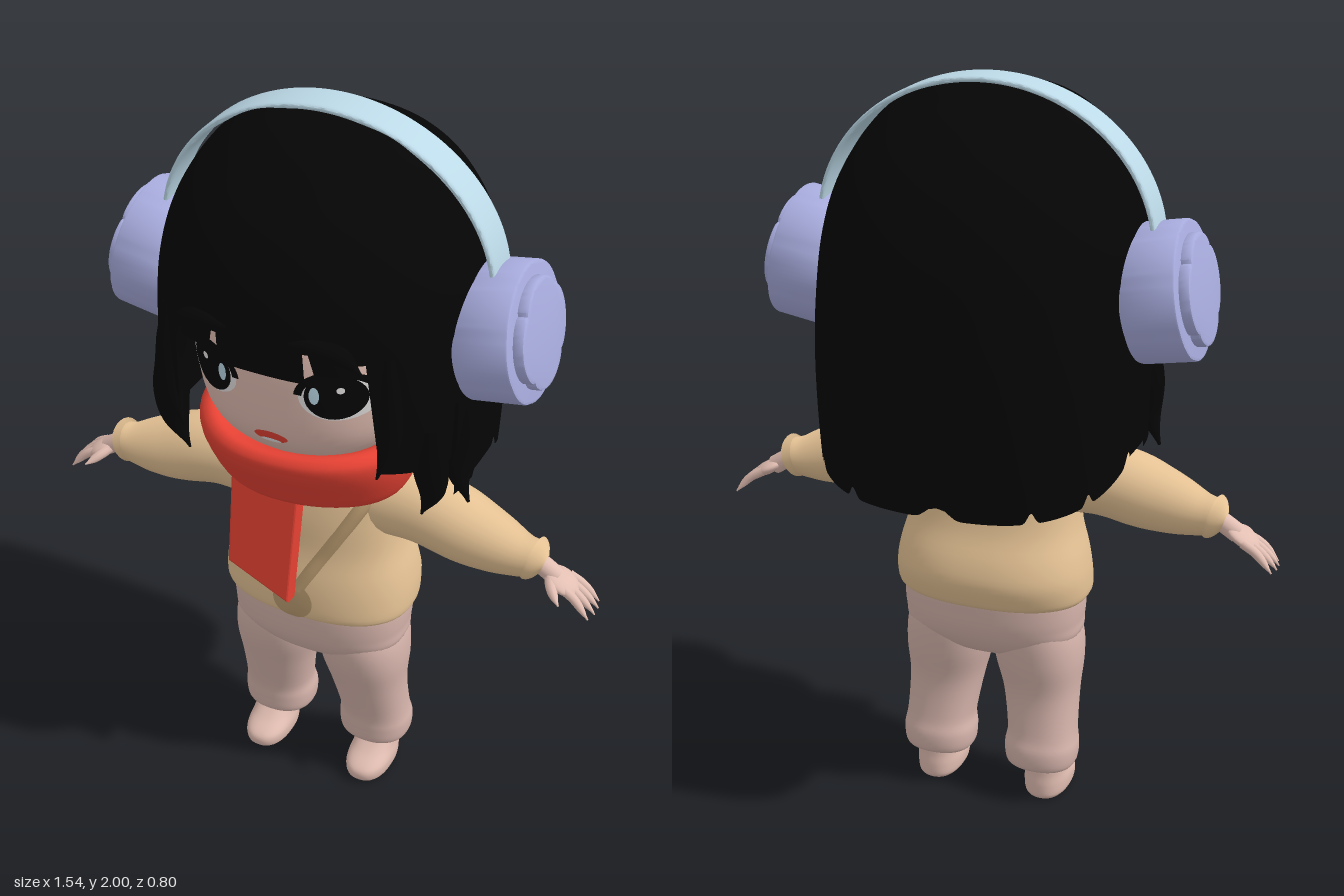
import * as THREE from 'three';
import { toCreasedNormals } from 'three/addons/utils/BufferGeometryUtils.js';

const V2 = (x, y) => new THREE.Vector2(x, y);
const V3 = (x, y, z) => new THREE.Vector3(x, y, z);
const mat = (name, color, double) => {
  const m = new THREE.MeshStandardMaterial({ color });
  m.name = name;
  if (double) m.side = THREE.DoubleSide;
  return m;
};

// Smooth stack of cross-sections; each row is [y, halfWidth, zFront, zBack]
function profile(rows, n) {
  const a = new THREE.SplineCurve(rows.map(r => V2(r[0], r[1])));
  const b = new THREE.SplineCurve(rows.map(r => V2(r[2], r[3])));
  const at = t => {
    const p = a.getPoint(t), q = b.getPoint(t);
    return { y: p.x, w: Math.max(p.y, 0.001), c: (q.x + q.y) / 2, d: (q.x - q.y) / 2 };
  };
  const atY = y => {
    let lo = 0, hi = 1;
    for (let k = 0; k < 22; k++) {
      const m = (lo + hi) / 2;
      if (a.getPoint(m).x < y) lo = m; else hi = m;
    }
    return at(lo);
  };
  const frontZ = (x, y) => {
    const s = atY(y);
    return s.c + s.d * Math.pow(Math.max(0, 1 - Math.pow(Math.abs(x) / s.w, n)), 1 / n);
  };
  return { at, atY, frontZ, n };
}

// Unit superellipse point as [x, z]; larger n is boxier
const ring = (a, n) => [Math.sin(a), Math.cos(a)].map(v => Math.sign(v) * Math.abs(v) ** (2 / n));

// Skin over a profile; "hem" cuts the lower edge, "lift" raises points, "boxy" varies n with height
function loft(p, { cx = 0, seg = 48, steps = 32, hem = null, lift = null, boxy = null } = {}) {
  const pos = [], idx = [], rows = [];
  for (let j = 0; j <= steps; j++) rows.push([j / steps, 1]);
  if (!hem) { rows.unshift([0, 0]); rows.push([1, 0]); }
  for (const [t, k] of rows) for (let i = 0; i < seg; i++) {
    const a = i / seg * Math.PI * 2;
    let s = p.at(t), [x, z] = ring(a, p.n);
    if (hem) { const h = hem(x, z, a); if (s.y < h) s = p.atY(h); }
    if (boxy) [x, z] = ring(a, boxy(s.y));
    pos.push(cx + x * s.w * k, s.y + (lift ? lift(z, a) : 0), s.c + z * s.d * k);
  }
  for (let j = 0; j < rows.length - 1; j++) for (let i = 0; i < seg; i++) {
    const a = j * seg + i, b = j * seg + (i + 1) % seg;
    idx.push(a, b, b + seg, a, b + seg, a + seg);
  }
  const g = new THREE.BufferGeometry();
  g.setAttribute('position', new THREE.Float32BufferAttribute(pos, 3));
  g.setIndex(idx);
  g.computeVertexNormals();
  return g;
}

// Tapered tube through [x, y, z, radius] points
function limb(pts, radial = 16, steps = 24) {
  const curve = new THREE.CatmullRomCurve3(pts.map(p => V3(p[0], p[1], p[2])));
  const rad = new THREE.SplineCurve(pts.map((p, i) => V2(i, p[3])));
  const g = new THREE.TubeGeometry(curve, steps, 1, radial);
  const at = g.attributes.position, v = V3(0, 0, 0);
  for (let j = 0; j <= steps; j++) {
    const c = curve.getPointAt(j / steps), r = Math.max(rad.getPoint(j / steps).y, 0.001);
    for (let i = 0; i <= radial; i++) {
      const k = j * (radial + 1) + i;
      v.fromBufferAttribute(at, k).sub(c).multiplyScalar(r).add(c);
      at.setXYZ(k, v.x, v.y, v.z);
    }
  }
  return g;
}

// Thin elliptical patch laid on the front of a profile
function patch(p, x, y, rx, ry, off, inner = 0, start = 0, len = Math.PI * 2) {
  const g = new THREE.RingGeometry(inner, 1, 28, 4, start, len), at = g.attributes.position;
  for (let i = 0; i < at.count; i++) {
    const X = x + at.getX(i) * rx, Y = y + at.getY(i) * ry;
    at.setXYZ(i, X, Y, p.frontZ(X, Y) + off);
  }
  g.computeVertexNormals();
  return g;
}

// Disc with rounded petals, extruded along z
function flower(r, lobes, amp, depth) {
  const pts = [];
  for (let i = 0; i < 96; i++) {
    const a = i / 96 * Math.PI * 2;
    const q = r * (1 - amp + amp * Math.sqrt(Math.abs(Math.cos(lobes * a / 2))));
    pts.push(V2(Math.cos(a) * q, Math.sin(a) * q));
  }
  const b = 0.006;
  return toCreasedNormals(new THREE.ExtrudeGeometry(new THREE.Shape(pts),
    { depth, bevelEnabled: true, bevelSize: b, bevelThickness: b, bevelOffset: -b, bevelSegments: 2 }), 0.5);
}

export function createModel() {
  const root = new THREE.Group();
  root.name = 'girlWithHeadphones';
  const M = {
    hair: mat('black', 0x050505, true), skin: mat('skin', 0xe2beb2), knit: mat('sweaterTan', 0xe6c395),
    pants: mat('dustyPink', 0xd7b5ac), red: mat('scarfRed', 0xf04536), cup: mat('lavender', 0xaaaee0),
    band: mat('paleBlue', 0xbcd9e7), strap: mat('strapBrown', 0xbb9c71), white: mat('white', 0xf2eeee),
  };
  const add = (name, geo, m, parent = root) => {
    const o = new THREE.Mesh(geo, m);
    o.name = name;
    parent.add(o);
    return o;
  };

  // Head and neck
  const head = profile([[1.12, .08, .18, -.08], [1.18, .2, .27, -.12], [1.25, .26, .322, -.18], [1.35, .293, .342, -.24],
    [1.5, .31, .342, -.28], [1.68, .28, .3, -.27], [1.82, .18, .19, -.17], [1.87, .03, .05, -.03]], 2.35);
  add('head', loft(head), M.skin);
  add('neck', new THREE.CylinderGeometry(.09, .1, .2, 24).translate(0, 1.1, .05), M.skin);
  add('mouth', patch(head, 0, 1.258, .045, .018, .003), M.red);
  add('teeth', patch(head, 0, 1.248, .028, .006, .006), M.white);
  for (const s of [1, -1]) {
    add('eyeWhite', patch(head, s * .17, 1.405, .088, .064, .002), M.white);
    add('iris', patch(head, s * .165, 1.41, .068, .064, .005), M.hair);
    add('eyeGlint', patch(head, s * .122, 1.415, .012, .024, .008), M.band);
    add('eyeSpark', patch(head, s * .18, 1.432, .009, .009, .008), M.white);
    add('upperLash', patch(head, s * .17, 1.405, .098, .078, .006, .8, .1, Math.PI - .2), M.hair);
    for (const k of [0, 1, 2]) {
      const x = s * (.232 + k * .008), y = 1.45 - k * .025, X = x + s * .026;
      add('lash', limb([[x, y, head.frontZ(x, y), .008], [X, y + .018, head.frontZ(X, y) + .008, .002]], 6, 4), M.hair);
    }
  }

  // Hair shell: round crown, boxier lower down, with fringe, side locks and slit back edge
  const hair = profile([[.93, .4, .3, -.37], [1.1, .41, .32, -.387], [1.3, .42, .355, -.402], [1.45, .42, .375, -.408],
    [1.6, .41, .388, -.405], [1.72, .382, .37, -.378], [1.82, .332, .326, -.324], [1.9, .27, .25, -.238],
    [1.95, .2, .18, -.15], [1.975, .12, .11, -.08], [1.982, .001, .01, .009]], 2.6);
  const hem = (sx, sz, a) => {
    const x = Math.abs(sx) * .42, z = sz * .39 - .005;
    const slit = .03 * Math.abs(Math.sin(a * 6.5)) ** 40;
    if (sz > 0 && x < .265) return x < .125 ? 1.465 : x < .15 ? 1.55 : x < .24 ? 1.495 : 1.53;
    if (z > .17) return 1.2 + .1 * Math.max(0, z - .25);
    if (z > .15) return 1.36;
    if (z > .05) return 1.07;
    if (z > -.07) return 1.09;
    return 1.08 - (-.07 - z) * .34 + slit;
  };
  const boxy = y => 2.85 - .75 * THREE.MathUtils.smoothstep(y, 1.05, 1.85);
  add('hair', loft(hair, { seg: 400, steps: 60, hem, boxy }), M.hair);
  for (const s of [1, -1]) {
    add('outerLock', limb([[s * .39, 1.36, .08, .025], [s * .405, 1.24, .08, .036], [s * .4, 1.14, .1, .034],
      [s * .43, 1.05, .1, .004]]), M.hair);
    add('innerLock', limb([[s * .36, 1.32, .2, .03], [s * .36, 1.21, .19, .045], [s * .36, 1.11, .17, .035],
      [s * .33, 1.02, .16, .003]]), M.hair);
    add('faceLock', limb([[s * .29, 1.54, .29, .015], [s * .3, 1.42, .295, .026], [s * .295, 1.3, .29, .028],
      [s * .265, 1.19, .29, .003]]), M.hair);
    add('fringeTuft', limb([[s * .08, 1.57, .378, .01], [s * .14, 1.575, .374, .02], [s * .2, 1.56, .36, .022],
      [s * .245, 1.51, .34, .003]]), M.hair);
  }

  // Headphones
  const arch = new THREE.Shape();
  arch.absellipse(0, 1.6, .45, .4, 0, Math.PI, false);
  arch.lineTo(-.434, 1.6);
  arch.absellipse(0, 1.6, .434, .384, Math.PI, 0, true);
  add('headband', toCreasedNormals(new THREE.ExtrudeGeometry(arch, { depth: .07, bevelEnabled: true, bevelSize: .005,
    bevelOffset: -.005, bevelThickness: .018, bevelSegments: 3, curveSegments: 56 }).translate(0, 0, -.045), 1), M.band);
  for (const s of [1, -1]) {
    const side = new THREE.Group(), cup = new THREE.Group();
    side.name = 'earCup';
    cup.name = 'cupParts';
    if (s < 0) side.rotation.y = Math.PI;
    cup.position.set(.4, 1.487, -.01 * s);
    cup.rotation.z = .17;
    side.add(cup);
    root.add(side);
    add('cupBody', flower(.175, 8, .012, .13).rotateY(Math.PI / 2), M.cup, cup);
    add('cupPlate', flower(.14, 4, .11, .02).rotateY(Math.PI / 2).translate(.137, 0, 0), M.cup, cup);
  }

  // Scarf wrap, riding up behind the neck, and hanging tail
  const scarf = profile([[1.0, .2, .22, -.06], [1.02, .255, .265, -.09], [1.08, .282, .3, -.11], [1.145, .29, .333, -.12],
    [1.185, .28, .336, -.115], [1.197, .24, .3, -.09], [1.13, .17, .2, -.04]], 2.2);
  add('scarfWrap', loft(scarf, {
    lift: (z, a) => .035 * (1 - z) * (1 + Math.max(0, -z)) + .006 * Math.sin(a * 3),
  }), M.red);
  const tail = new THREE.Shape([V2(-.16, 1.04), V2(-.16, .775), V2(.008, .703), V2(.02, 1.04)]);
  const tailMesh = add('scarfTail', new THREE.ExtrudeGeometry(tail, { depth: .034, bevelEnabled: true, bevelSize: .006,
    bevelThickness: .006, bevelSegments: 2 }).translate(0, -1.02, 0), M.red);
  tailMesh.position.set(0, 1.02, .2);
  tailMesh.rotation.x = -.13;

  // Sweater body, sleeves and hands
  const torso = profile([[.608, .258, .21, -.125], [.625, .267, .226, -.138], [.68, .266, .226, -.154], [.74, .256, .218, -.142],
    [.82, .236, .2, -.108], [.92, .228, .19, -.09], [1.01, .225, .17, -.085], [1.07, .17, .14, -.06], [1.11, .1, .1, -.02]], 2.4);
  add('sweater', loft(torso), M.knit);
  for (const s of [1, -1]) {
    add('sleeve', limb([[s * .1, .96, .045, .08], [s * .22, .965, .045, .105], [s * .34, .95, .05, .098],
      [s * .45, .92, .053, .095], [s * .56, .895, .052, .077], [s * .6, .893, .05, .05]], 24, 32), M.knit);
    add('cuff', limb([[s * .575, .9, .05, .03], [s * .58, .898, .05, .058], [s * .605, .89, .05, .058],
      [s * .625, .884, .05, .045], [s * .622, .885, .05, .02]], 24, 16), M.knit);
    add('wrist', limb([[s * .58, .9, .05, .027], [s * .62, .88, .05, .026], [s * .66, .855, .05, .026]]), M.skin);
    const palm = add('palm', new THREE.SphereGeometry(1, 20, 14).scale(.05, .018, .046), M.skin);
    palm.position.set(s * .675, .848, .05);
    palm.rotation.z = -s * .5;
    for (let f = 0; f < 4; f++) {
      const k = f - 1.5, e = .773 - .008 * Math.abs(k), z = .045;
      add('finger', limb([[s * .68, .846, z + k * .02, .013], [s * .718, .824, z + k * .023, .0125],
        [s * (e - .01), .79, z + k * .027, .01], [s * e, .778, z + k * .028, .002]], 10, 12), M.skin);
    }
    add('thumb', limb([[s * .645, .86, .065, .014], [s * .662, .848, .095, .014], [s * .685, .83, .118, .011],
      [s * .693, .825, .124, .002]], 10, 12), M.skin);
  }

  // Shoulder strap with a round pouch flap
  const strapPts = [];
  for (let i = 0; i <= 6; i++) {
    const x = .19 - i * .03, y = 1.03 - i * .054;
    strapPts.push([x, y, torso.frontZ(x, y) - .013, .022]);
  }
  add('strap', limb(strapPts, 12, 24), M.strap);
  add('pouch', patch(torso, 0, .672, .057, .055, .005), M.strap);

  // Trousers and feet
  const hips = profile([[.42, .04, .1, -.01], [.45, .15, .16, -.065], [.49, .236, .187, -.096],
    [.54, .247, .2, -.114], [.6, .25, .204, -.12], [.64, .245, .2, -.12]], 2.5);
  add('trouserHips', loft(hips), M.pants);
  for (const s of [1, -1]) {
    const leg = profile([[.1, .08, .07, -.06], [.115, .097, .096, -.079], [.16, .102, .101, -.081], [.21, .096, .105, -.068],
      [.32, .104, .135, -.058], [.42, .12, .164, -.076], [.5, .12, .17, -.084], [.58, .1, .15, -.08]], 2.3);
    const g = loft(leg), at = g.attributes.position;
    // legs lean together toward the hips
    for (let i = 0; i < at.count; i++) at.setX(i, at.getX(i) + s * (.15 - Math.max(0, at.getY(i) - .2) * .09));
    g.computeVertexNormals();
    add('trouserLeg', g, M.pants);
    const foot = profile([[.002, .05, .135, -.035], [.015, .06, .152, -.045], [.045, .063, .15, -.047],
      [.075, .058, .105, -.045], [.1, .055, .075, -.045], [.13, .05, .05, -.045]], 2.4);
    add('foot', loft(foot, { cx: s * .16 }), M.skin);
  }
  return root;
}
